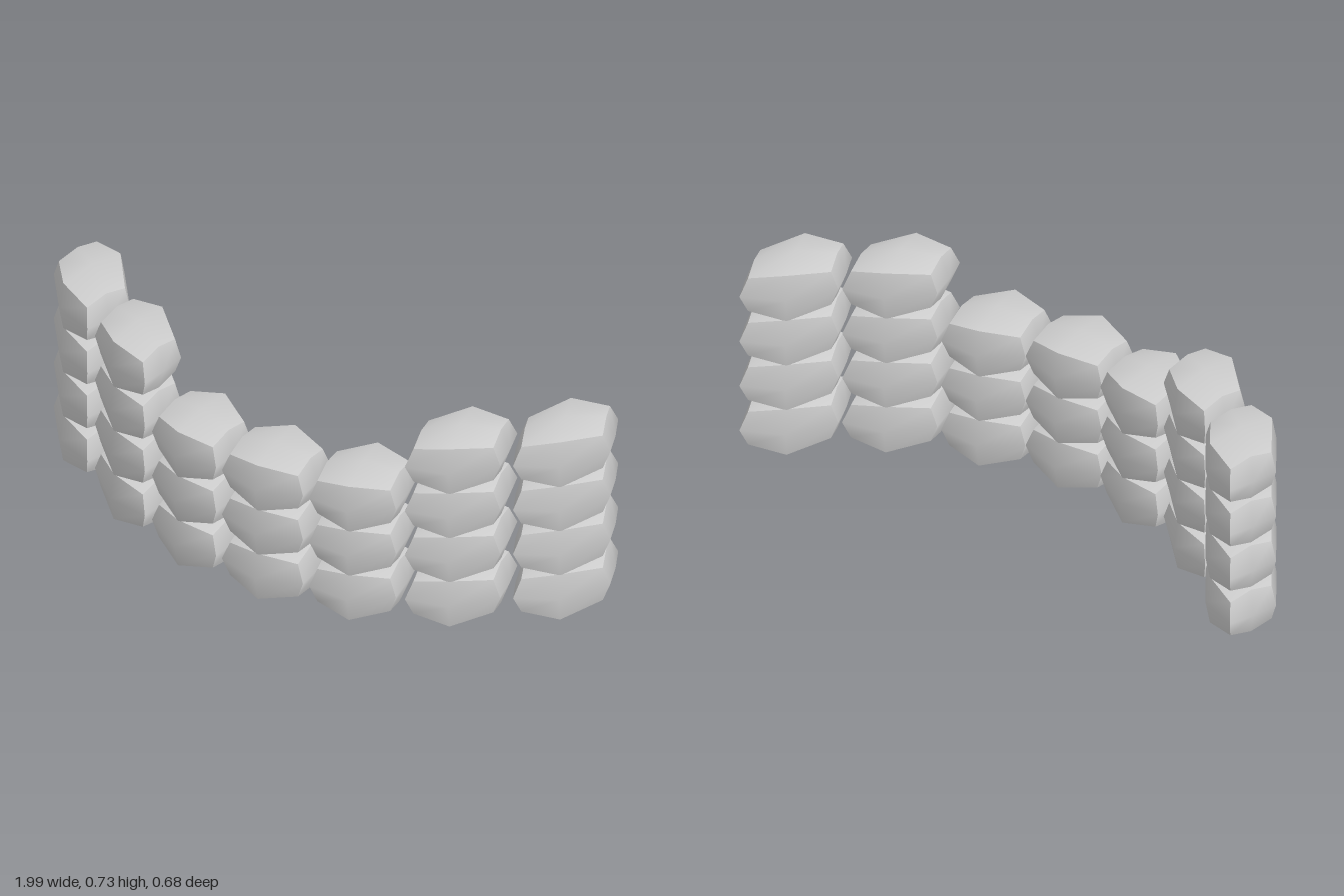
import * as THREE from 'three';

// Columns of the curved wall: centre, half length vector, half depth vector (all x, z) and row count
const COLUMNS = [
  { at: [0, 0.195], along: [0.145, 0], depth: [0, 0.0925], rows: 3 },
  { at: [0.29, 0.155], along: [0.135, -0.0375], depth: [0.012, 0.094], rows: 3 },
  { at: [0.579, 0.042], along: [0.13, -0.075], depth: [0.017, 0.0885], rows: 4 },
  { at: [0.849, -0.151], along: [0.117, -0.105], depth: [0.031, 0.084], rows: 4 },
];
const FIRST_ROW = 0.107;
const ROW_STEP = 0.172;

// Stuffed sack: a 2x2x2 box whose edge middles and face middles swell outward
function bagGeometry(col, side) {
  const geo = new THREE.BoxGeometry(2, 2, 2, 2, 2, 2);
  const p = geo.attributes.position;
  for (let i = 0; i < p.count; i++) {
    const x = Math.round(p.getX(i)), y = Math.round(p.getY(i)), z = Math.round(p.getZ(i));
    p.setXYZ(
      i,
      x * (y ? 0.84 : z ? 1 : 1.03),
      y * (0.063 + (x ? 0 : 0.025) + (z ? 0 : 0.017)),
      z * (x ? (y ? 0.89 : 1) : (y ? 1.34 : 1.54))
    );
  }
  // Turn and skew the sack to follow the curve of the wall
  const along = new THREE.Vector3(col.along[0], 0, side * col.along[1]);
  const depth = new THREE.Vector3(side * col.depth[0], 0, col.depth[1]);
  geo.applyMatrix4(new THREE.Matrix4().makeBasis(along, new THREE.Vector3(0, 1, 0), depth));
  geo.computeVertexNormals(); // smooth inside each side, sharp between sides
  return geo;
}

export function createModel() {
  const model = new THREE.Group();
  model.name = 'sandbagWall';
  const material = new THREE.MeshStandardMaterial({ color: 0xcccccc });

  COLUMNS.forEach((col, c) => {
    for (const side of c === 0 ? [1] : [1, -1]) {
      const stack = new THREE.Group();
      stack.name = c === 0 ? 'centreStack' : `${side > 0 ? 'left' : 'right'}Stack${c}`;
      stack.position.set(side * col.at[0], 0, col.at[1]);
      const geo = bagGeometry(col, side);
      for (let r = 0; r < col.rows; r++) {
        const bag = new THREE.Mesh(geo, material);
        bag.name = `sandbag${r + 1}`;
        bag.position.y = FIRST_ROW + r * ROW_STEP;
        stack.add(bag);
      }
      model.add(stack);
    }
  });
  return model;
}
